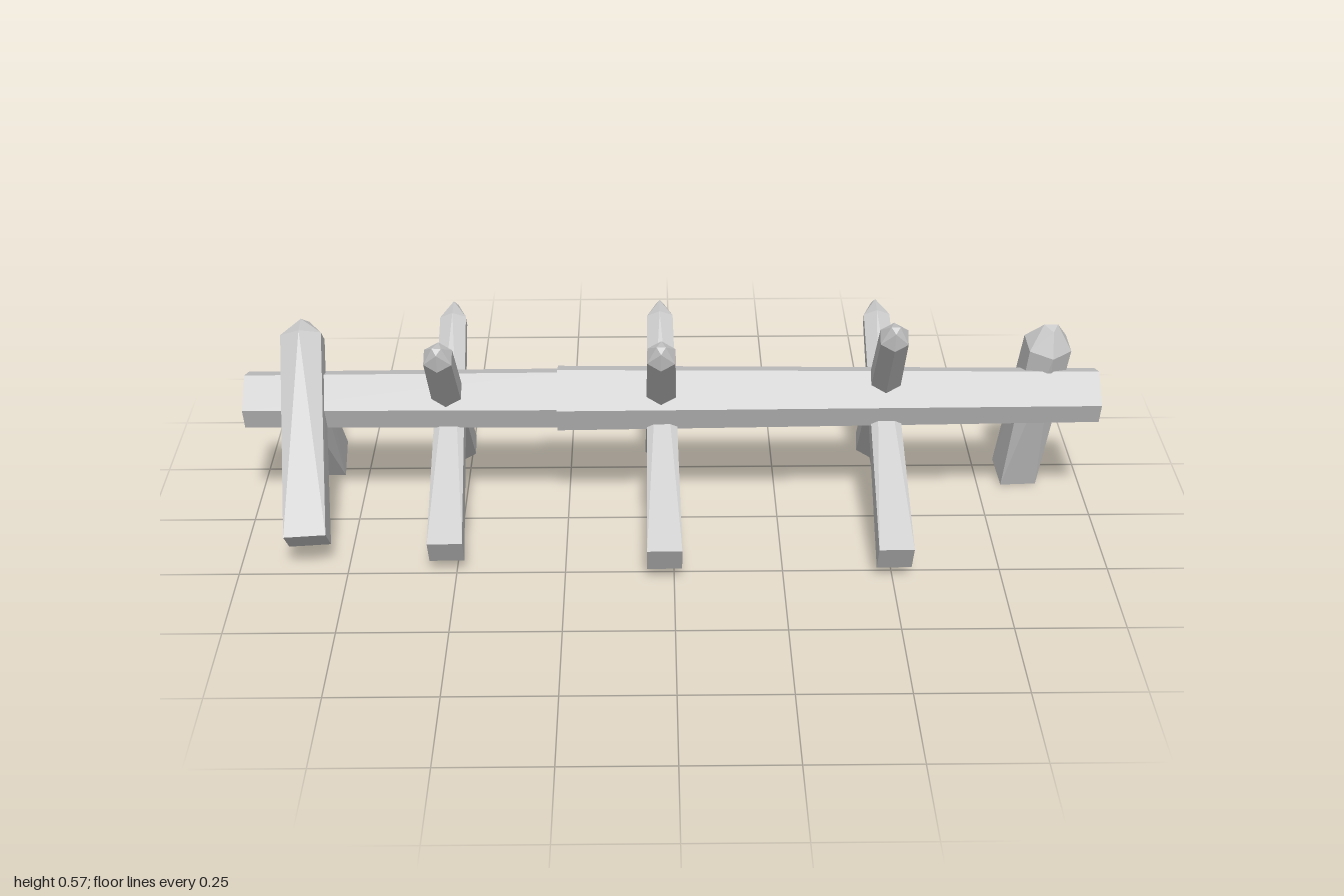
import * as THREE from 'three';
import { ConvexGeometry } from 'three/addons/geometries/ConvexGeometry.js';

const V = (x, y, z) => new THREE.Vector3(x, y, z);

export function createModel() {
  const model = new THREE.Group();
  model.name = 'barricade';
  const material = new THREE.MeshStandardMaterial({ color: 0xcccccc, flatShading: true });

  const addHull = (name, points) => {
    const mesh = new THREE.Mesh(new ConvexGeometry(points), material);
    mesh.name = name;
    model.add(mesh);
  };

  // Beam: two hewn logs with a seven-sided section, given as z, y offsets
  const section = [[0.077, 0.008], [0.01, 0.067], [-0.05, 0.047], [-0.074, 0.002],
    [-0.056, -0.055], [-0.006, -0.065], [0.056, -0.046]];
  const beam = (name, x0, s0, x1, s1) => {
    const points = [];
    for (const [x, s] of [[x0, s0], [x1, s1]]) {
      for (const [z, y] of section) points.push(V(x, 0.312 + y * s, -0.042 + z * s));
    }
    addHull(name, points);
  };
  beam('beamRight', -1, 1, -0.26, 1.06);
  beam('beamLeft', -0.27, 1.16, 1, 0.97);

  // Stake: square butt, or a second bevelled end, rising to a six-sided bevelled point
  const stake = (name, base, end, { butt = 0.08, top = 0.065, point = 0.05, twist = 0, bothEnds = false }) => {
    const axis = end.clone().sub(base).normalize();
    const side = V(1, 0, 0).addScaledVector(axis, -axis.x).normalize().applyAxisAngle(axis, twist);
    const normal = axis.clone().cross(side);
    const points = [];
    const ring = (center, count, radius, phase) => {
      for (let i = 0; i < count; i++) {
        const a = phase + (i / count) * Math.PI * 2;
        points.push(center.clone()
          .addScaledVector(side, radius * Math.cos(a))
          .addScaledVector(normal, radius * Math.sin(a)));
      }
    };
    const bevelledEnd = (tip, inward, width) => {
      ring(tip.clone().addScaledVector(axis, inward), 6, width * 0.55, 0.5);
      ring(tip, 3, width * 0.18, 0.5);
    };
    if (bothEnds) bevelledEnd(base, point * 0.6, butt);
    else ring(base, 4, butt * Math.SQRT1_2, Math.PI / 4);
    bevelledEnd(end, -point, top);
    addHull(name, points);
  };

  // Three crossed pairs along the beam
  const pairs = [
    { x: -0.525, front: 0.265, topZ: 0.185, topY: 0.545 },
    { x: -0.025, front: 0.305, topZ: 0.185, topY: 0.545 },
    { x: 0.5, front: 0.305, topZ: 0.15, topY: 0.575 },
  ];
  for (const { x, front, topZ, topY } of pairs) {
    stake('crossStakeFront', V(x + 0.003, 0.073, front), V(x - 0.003, 0.428, -0.318), { butt: 0.08 });
    stake('crossStakeBack', V(x, 0.045, -0.29), V(x - 0.003, topY, topZ), { butt: 0.082, top: 0.066, point: 0.04, bothEnds: true });
  }

  // Right end: tall leaning post and short back leg
  stake('rightPost', V(-0.84, 0.088, 0.235), V(-0.87, 0.475, -0.125), { butt: 0.096, top: 0.1, point: 0.04 });
  stake('rightBackLeg', V(-0.85, 0.05, -0.23), V(-0.85, 0.335, -0.02), { butt: 0.092, top: 0.08 });

  // Left end: steep, slightly twisted post
  stake('leftPost', V(0.845, 0.024, -0.19), V(0.885, 0.482, -0.055), { butt: 0.088, top: 0.105, point: 0.05, twist: 0.12 });

  return model;
}
